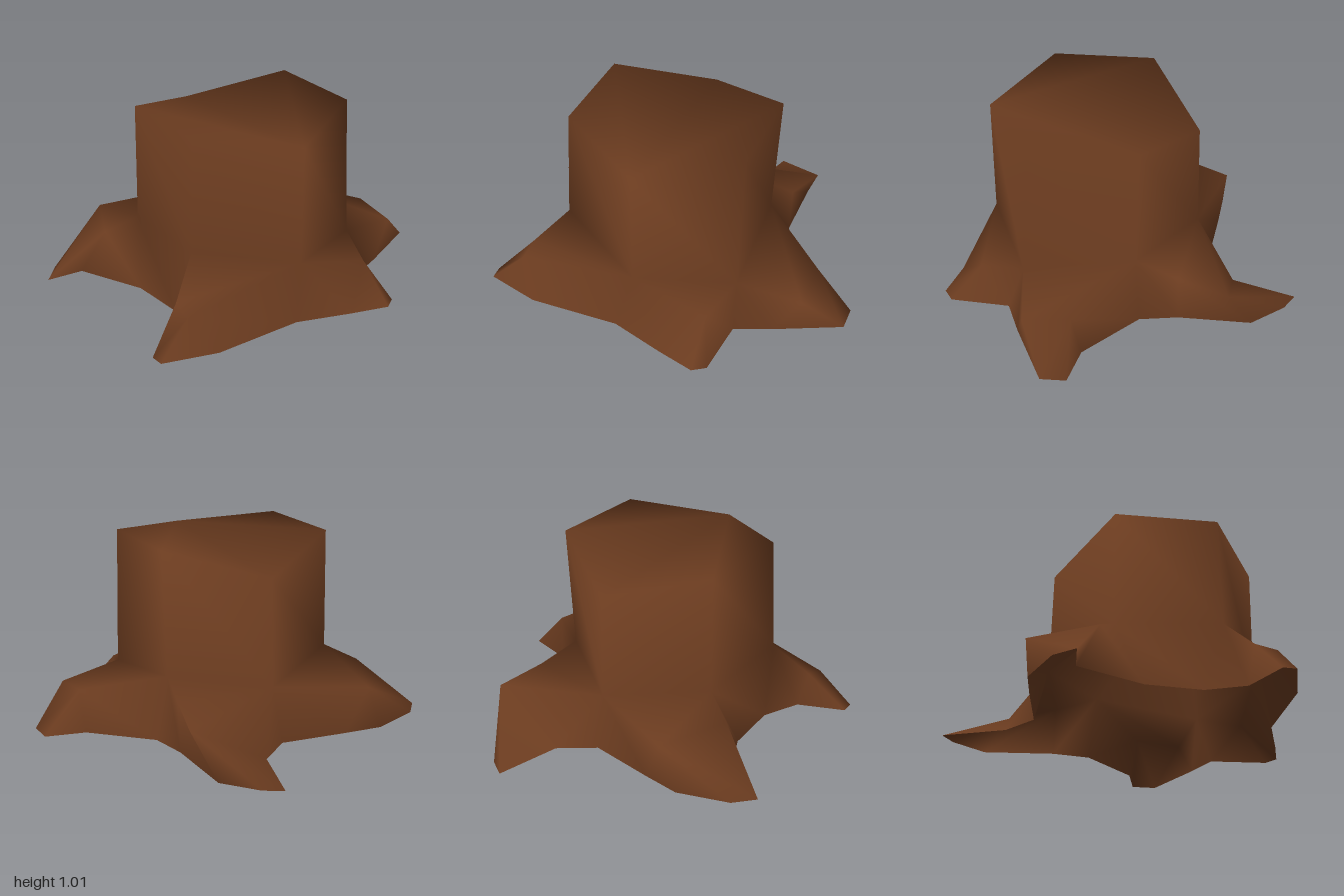
import * as THREE from 'three';

// Trunk corners, clockwise from above: rim, foot [x, y, z] and ground outline [x, z]
const TRUNK = [
  { rim: [-0.28, 0.87, -0.40], foot: [-0.29, 0.30, -0.41], ground: [[-0.35, -0.45], [-0.31, -0.67]] },
  { rim: [0.26, 1.01, -0.505], foot: [0.25, 0.34, -0.475], ground: [[0.29, -0.55]] },
  { rim: [0.62, 1.01, -0.09], foot: [0.65, 0.26, -0.05], ground: [[0.72, 0.0]] },
  { rim: [0.43, 0.95, 0.44], foot: [0.43, 0.31, 0.44], ground: [[0.42, 0.54]] },
  { rim: [-0.11, 1.01, 0.54], foot: [-0.12, 0.40, 0.565], ground: [[-0.22, 0.50]] },
  { rim: [-0.47, 1.01, 0.13], foot: [-0.475, 0.37, 0.13], ground: [[-0.44, 0.29]] },
];

// Root after each trunk corner: ridge points, each with its ground outline
const ROOTS = [
  [
    { ridge: [0.02, 0.24, -0.92], ground: [[-0.46, -0.98], [-0.35, -1.0], [-0.13, -0.96]] },
    { ridge: [0.14, 0.28, -0.68], ground: [[0.13, -0.68]] },
  ],
  [
    { ridge: [0.72, 0.24, -0.50], ground: [[0.68, -0.53], [0.87, -0.63], [0.96, -0.53]] },
    { ridge: [0.88, 0.21, -0.31], ground: [[0.81, -0.18]] },
  ],
  [{ ridge: [0.75, 0.20, 0.18], ground: [[0.91, 0.25], [0.89, 0.33], [0.70, 0.42]] }],
  [
    { ridge: [-0.10, 0.19, 0.85], ground: [[0.06, 0.87], [-0.21, 1.0], [-0.26, 0.95]] },
    { ridge: [-0.17, 0.22, 0.76], ground: [[-0.15, 0.71]] },
  ],
  [],
  [
    { ridge: [-0.65, 0.285, 0.17], ground: [[-0.80, 0.14], [-0.96, 0.26]] },
    { ridge: [-0.76, 0.26, -0.20], ground: [[-0.96, 0.12], [-0.82, -0.13], [-0.65, -0.25]] },
  ],
];

// The back root tip reaches slightly lower than the rest
const groundY = ([x, z]) => (z < -0.9 && x < -0.1 ? 0.0 : 0.015);

export function createModel() {
  const group = new THREE.Group();
  group.name = 'treeStump';
  const bark = new THREE.MeshStandardMaterial({ color: 0x6a3b1f, side: THREE.DoubleSide });
  bark.name = 'bark brown';

  const points = [], faces = [];
  const add = (p) => points.push(p) - 1;
  const n = TRUNK.length;
  const rim = TRUNK.map((c) => add(c.rim));
  const foot = TRUNK.map((c) => add(c.foot));

  // Trunk walls
  for (let i = 0; i < n; i++) {
    const j = (i + 1) % n;
    faces.push([foot[i], rim[i], rim[j]], [foot[i], rim[j], foot[j]]);
  }

  // Cut top, fanned from the low front corner
  for (let k = 1; k < n - 1; k++) {
    faces.push([rim[3], rim[(3 + k + 1) % n], rim[(3 + k) % n]]);
  }

  // Skirt: trunk feet and root ridges in turn, each with its ground points
  const skirt = [];
  const addSkirt = (top, ground) => skirt.push({
    top,
    ground: ground.map((p) => add([p[0], groundY(p), p[1]])),
  });
  for (let i = 0; i < n; i++) {
    addSkirt(foot[i], TRUNK[i].ground);
    const ridges = ROOTS[i].map((r) => add(r.ridge));
    ROOTS[i].forEach((r, k) => {
      addSkirt(ridges[k], r.ground);
      // Upper side of the root
      faces.push([ridges[k], foot[i], ridges[k + 1] ?? foot[(i + 1) % n]]);
    });
  }

  // Root flanks down to the ground, open underneath
  skirt.forEach((s, i) => {
    const next = skirt[(i + 1) % skirt.length];
    for (let k = 0; k + 1 < s.ground.length; k++) {
      faces.push([s.ground[k], s.top, s.ground[k + 1]]);
    }
    const last = s.ground[s.ground.length - 1];
    faces.push([last, s.top, next.top], [last, next.top, next.ground[0]]);
  });

  const geometry = new THREE.BufferGeometry();
  geometry.setAttribute('position', new THREE.Float32BufferAttribute(points.flat(), 3));
  geometry.setIndex(faces.flat());
  geometry.computeVertexNormals();
  const stump = new THREE.Mesh(geometry, bark);
  stump.name = 'trunkAndRoots';
  group.add(stump);
  return group;
}
